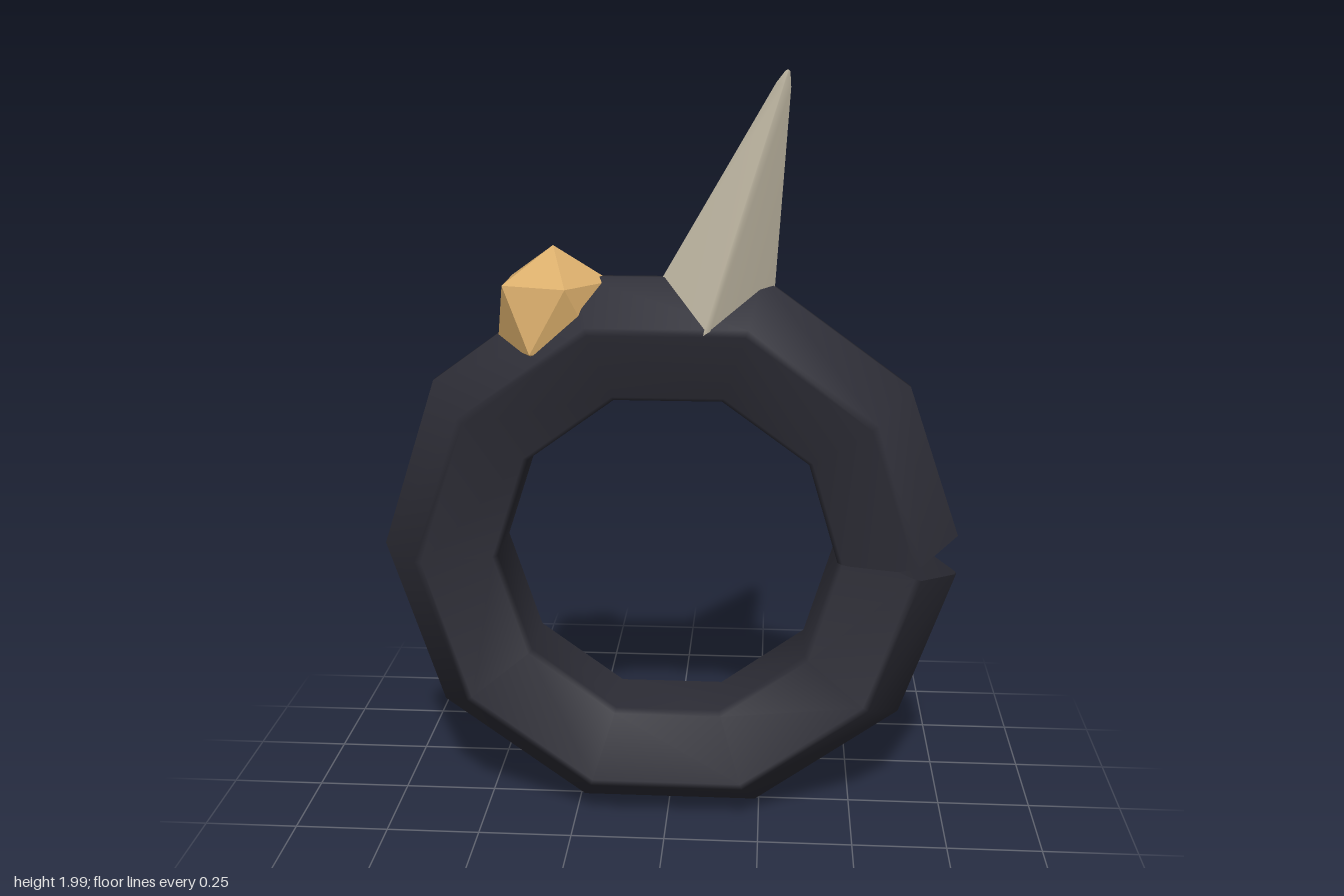
import * as THREE from 'three';

const RAD = Math.PI / 180;

// Regular polygon whose corners are cut by a small bevel, as [u, v] points
function bevelledPolygon(sides, radius, cut, turn = 0) {
  const corner = (i) => {
    const a = turn + (i * Math.PI * 2) / sides;
    return new THREE.Vector2(Math.cos(a) * radius, Math.sin(a) * radius);
  };
  const points = [];
  for (let i = 0; i < sides; i++) {
    const c = corner(i);
    if (cut === 0) points.push(c);
    else points.push(c.clone().lerp(corner(i - 1), cut), c.clone().lerp(corner(i + 1), cut));
  }
  return points;
}

// Skin over a row of closed cross-sections
function loft(sections) {
  const n = sections[0].length;
  const index = [];
  for (let r = 0; r < sections.length - 1; r++) {
    for (let i = 0; i < n; i++) {
      const j = (i + 1) % n;
      const a = r * n + i, b = r * n + j, c = a + n, d = b + n;
      index.push(a, c, b, c, d, b);
    }
  }
  const geometry = new THREE.BufferGeometry().setFromPoints(sections.flat());
  geometry.setIndex(index);
  geometry.computeVertexNormals();
  return geometry;
}

export function createModel() {
  const model = new THREE.Group();
  model.name = 'ring';

  const darkMetal = new THREE.MeshStandardMaterial({ color: 0x2d2d36, side: THREE.DoubleSide });
  darkMetal.name = 'dark metal';
  const bone = new THREE.MeshStandardMaterial({ color: 0xbcb4a0 });
  bone.name = 'bone';
  const gold = new THREE.MeshStandardMaterial({ color: 0xd9ad6b, flatShading: true });
  gold.name = 'gold';

  const add = (name, geometry, material) => {
    const mesh = new THREE.Mesh(geometry, material);
    mesh.name = name;
    model.add(mesh);
    return mesh;
  };

  // Band: ten straight lengths of five-sided tube, its open ends square to the last lengths
  const profile = bevelledPolygon(5, 0.182, 0.06);
  const bandSections = [];
  for (let k = 0; k <= 10; k++) {
    const t = k * 36 * RAD;
    const tilt = k === 0 ? 18 * RAD : k === 10 ? -18 * RAD : 0;
    bandSections.push(profile.map((p) => new THREE.Vector3(
      0.6 * Math.cos(t) + p.x * Math.cos(t + tilt),
      0.6 * Math.sin(t) + p.x * Math.sin(t + tilt),
      p.y)));
  }
  add('band', loft(bandSections), darkMetal).position.y = 0.745;

  // Horn: leaning four-sided spike with bevelled edges and a blunt tip; [height, radius]
  const hornSteps = [[0, 0], [0, 0.163], [0.012, 0.175], [0.645, 0.02], [0.68, 0.006], [0.683, 0]];
  const horn = add('horn', loft(hornSteps.map(([h, r]) =>
    bevelledPolygon(4, r, 0.04).map((p) => new THREE.Vector3(p.x, h, p.y)))), bone);
  horn.position.set(0.096, 1.347, 0);
  horn.rotation.z = -16.8 * RAD;

  // Nugget: faceted twenty-sided stone sunk into the band; [y, radius, turn]
  const nuggetSteps = [[1.215, 0, 36], [1.3, 0.15, 36], [1.468, 0.15, 72], [1.56, 0, 72]];
  const nugget = loft(nuggetSteps.map(([y, r, turn]) =>
    bevelledPolygon(5, r, 0, turn * RAD).map((p) => new THREE.Vector3(p.x, y, p.y))));
  add('nugget', nugget.toNonIndexed(), gold).position.x = -0.302;

  return model;
}
